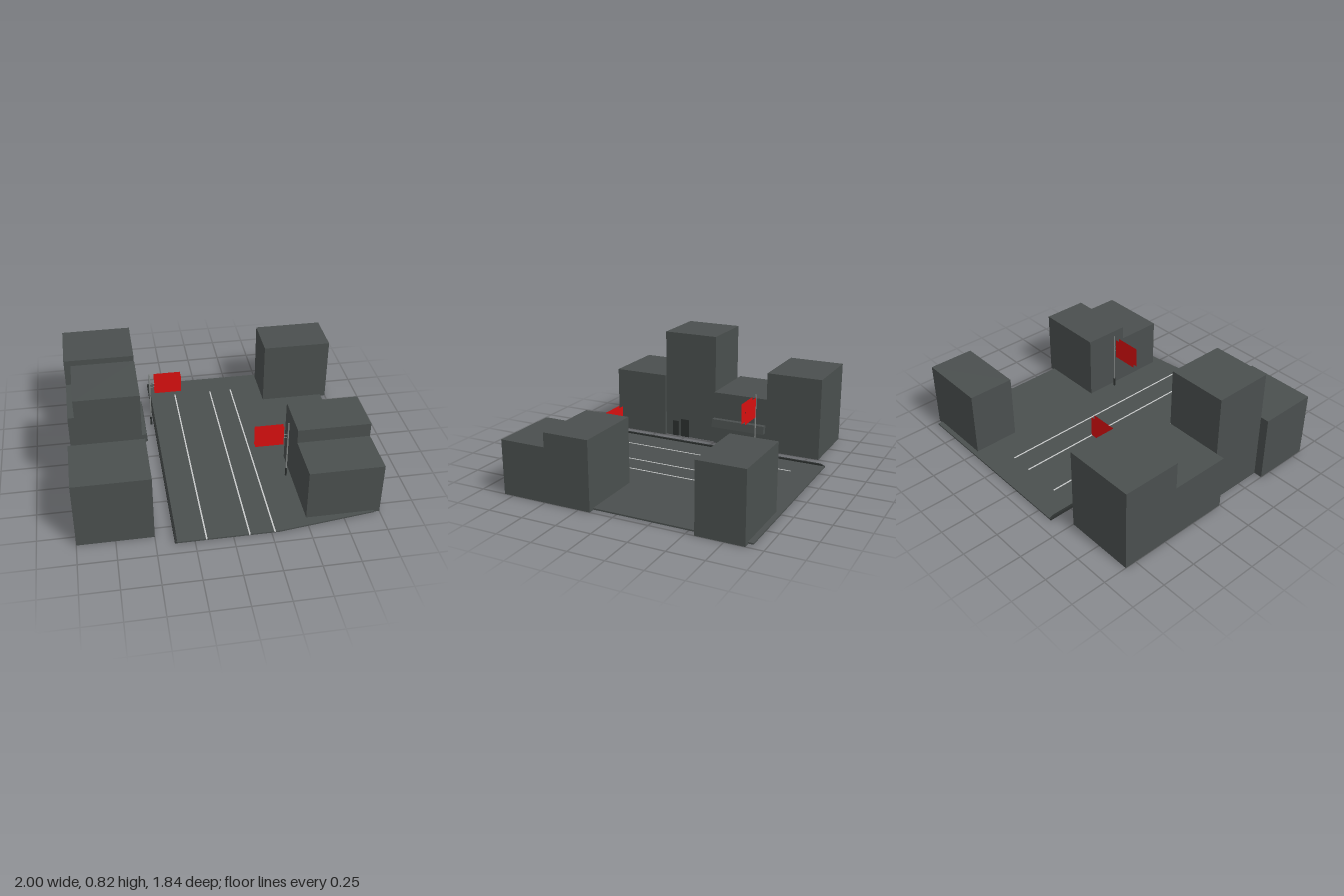
import * as THREE from 'three';

const mat = (name, color) => {
  const m = new THREE.MeshStandardMaterial({ color, side: THREE.DoubleSide });
  m.name = name;
  return m;
};

export function createModel() {
  const group = new THREE.Group();
  group.name = 'streetBlock';
  const concrete = mat('concreteGrey', 0x4a4f4e);
  const dark = mat('darkGrey', 0x2c302f);
  const steel = mat('steelGrey', 0x858988);
  const paint = mat('paleGrey', 0xc8caca);
  const red = mat('signRed', 0xd90f0f);

  const add = (parent, name, geo, material) => {
    const mesh = new THREE.Mesh(geo, material);
    mesh.name = name;
    parent.add(mesh);
    return mesh;
  };
  // Box given by its limits
  const box = (parent, name, [x0, x1], [y0, y1], [z0, z1], material, openBottom = false) => {
    const geo = new THREE.BoxGeometry(x1 - x0, y1 - y0, z1 - z0);
    geo.translate((x0 + x1) / 2, (y0 + y1) / 2, (z0 + z1) / 2);
    if (openBottom) {
      const index = Array.from(geo.index.array);
      index.splice(18, 6); // drop the floor
      geo.setIndex(index);
      geo.clearGroups();
    }
    return add(parent, name, geo, material);
  };
  const polygon = (points) => new THREE.Shape(points.map(([x, y]) => new THREE.Vector2(x, y)));
  const extrude = (points, depth) =>
    new THREE.ExtrudeGeometry(polygon(points), { depth, bevelEnabled: false });

  // Buildings: hollow blocks without floors
  [
    ['leftRowBack', [-1, -0.5], 0.6, [-0.83, -0.42]],
    ['leftRowShop', [-1, -0.5], 0.4, [-0.42, 0]],
    ['leftRowTower', [-0.94, -0.52], 0.82, [0, 0.415]],
    ['leftRowFront', [-1, -0.5], 0.48, [0.415, 0.83]],
    ['rightRowFront', [0.5, 1], 0.38, [0.49, 0.82]],
    ['rightRowMiddle', [0.5, 1], 0.48, [0.165, 0.49]],
    ['rightRowBack', [0.5, 1], 0.48, [-0.885, -0.56]],
  ].forEach(([name, xs, h, zs]) => box(group, name, xs, [0, h], zs, concrete, true));

  // Shop awning and tower doorway
  const awning = extrude([[-0.5, 0.14], [-0.455, 0.14], [-0.463, 0.2], [-0.5, 0.2]], 0.415);
  awning.translate(0, 0, -0.415);
  add(group, 'awning', awning, concrete);
  box(group, 'door', [-0.521, -0.516], [0, 0.14], [0.22, 0.29], dark);
  box(group, 'doorSidePanel', [-0.521, -0.516], [0, 0.12], [0.31, 0.36], dark);
  box(group, 'doorLamp', [-0.56, -0.53], [0.05, 0.12], [0.23, 0.28], paint);

  // Road slab with one clipped corner
  const road = extrude(
    [[-0.37, 0.92], [0.96, 0.92], [0.96, -0.83], [0.3, -0.915], [-0.37, -0.915]], 0.01);
  road.rotateX(-Math.PI / 2).translate(0, 0.004, 0);
  add(group, 'road', road, concrete);

  // Curb with ramped ends
  const curb = extrude(
    [[-0.915, 0.004], [0.92, 0.004], [0.92, 0.012], [0.885, 0.025], [-0.83, 0.025], [-0.915, 0.012]], 0.015);
  curb.rotateY(Math.PI / 2).translate(-0.38, 0, 0);
  add(group, 'curb', curb, dark);

  // Lane stripes
  [-0.175, 0.105, 0.27].forEach((x) =>
    box(group, 'laneStripe', [x - 0.005, x + 0.005], [0.0075, 0.0155], [-0.735, 0.9155], paint));

  // Signal posts, each with arm, head and red panels
  const rod = (parent, name, from, to, radius, material) => {
    const path = new THREE.LineCurve3(new THREE.Vector3(...from), new THREE.Vector3(...to));
    return add(parent, name, new THREE.TubeGeometry(path, 1, radius, 8), material);
  };
  const signalPost = (x, z, side) => {
    const post = new THREE.Group();
    post.name = 'signalPost';
    post.position.set(x, 0, z);
    group.add(post);
    const pole = new THREE.CylinderGeometry(0.005, 0.005, 0.45, 8);
    add(post, 'pole', pole.translate(0, 0.235, 0), steel);
    const base = new THREE.CylinderGeometry(0.007, 0.007, 0.07, 8);
    add(post, 'poleBase', base.translate(0, 0.045, 0), dark);
    rod(post, 'arm', [0, 0.373, 0], [side * 0.1, 0.373, 0], 0.002, steel);
    rod(post, 'brace', [0, 0.337, 0], [side * 0.085, 0.37, 0], 0.002, steel);
    // Three-part signal head
    for (let i = -1; i <= 1; i++) {
      const c = side * 0.132 + i * 0.022;
      box(post, 'signalHead', [c - 0.0105, c + 0.0105], [0.362, 0.386], [-0.013, 0.013], dark);
    }
    [-0.014, 0.014].forEach((dz) => {
      const panel = new THREE.PlaneGeometry(0.196, 0.15);
      add(post, 'redPanel', panel.translate(side * 0.132, 0.375, dz), red);
    });
  };
  signalPost(-0.398, -0.375, 1);
  signalPost(0.466, 0.375, -1);

  return group;
}
